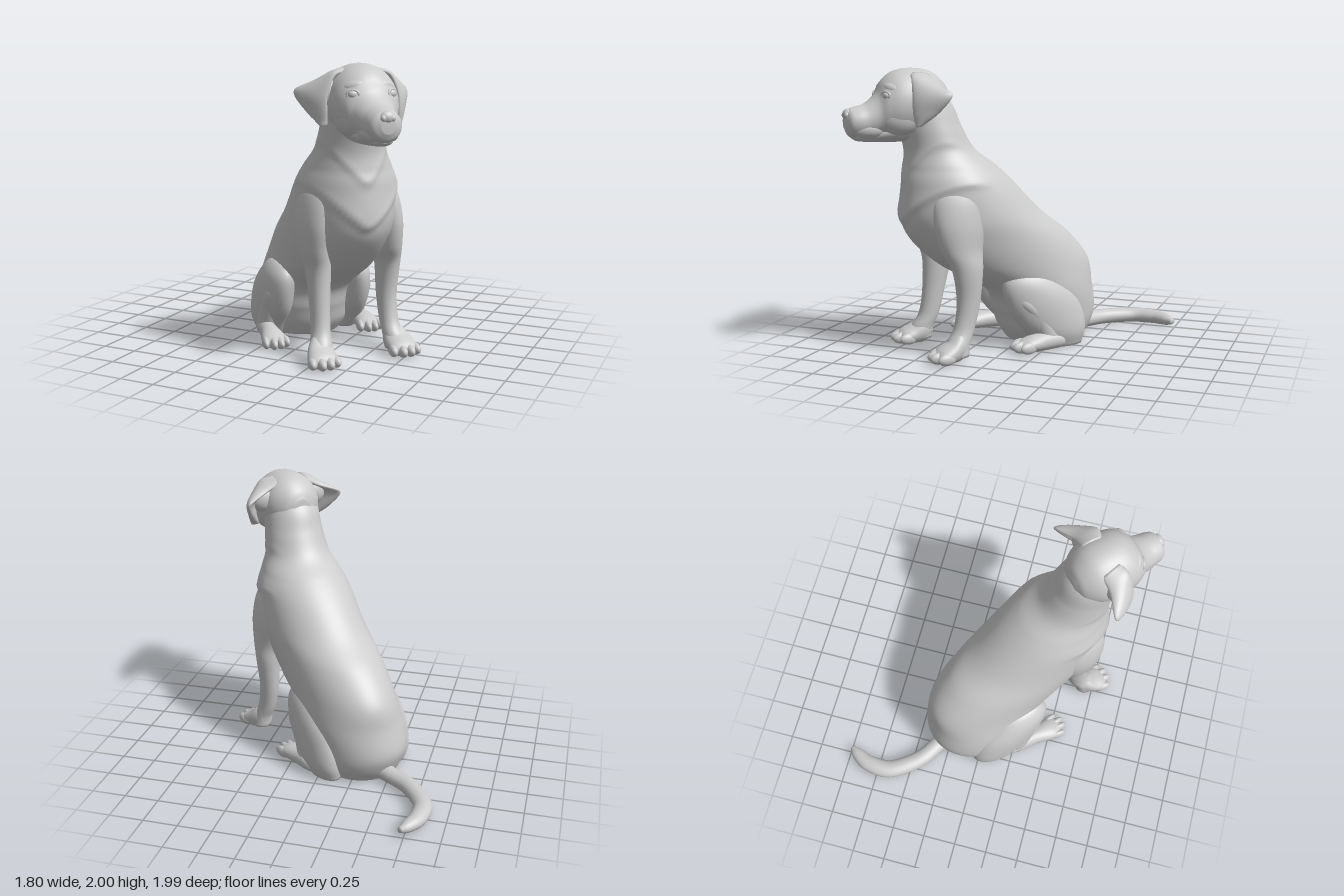
import * as THREE from 'three';

const V = (x, y, z) => new THREE.Vector3(x, y, z);
const UP = V(0, 1, 0);
const MID = -0.06; // sideways shift of head and hips
const mat = new THREE.MeshStandardMaterial({ color: 0xcccccc, roughness: 0.8 });

// Closed skin over rows of points; both ends are fanned to their centres.
function skin(rows) {
  const n = rows[0].length, pos = [], idx = [];
  const centre = (r) => r.reduce((s, p) => s.add(p), V(0, 0, 0)).divideScalar(n);
  for (const r of rows) for (const p of r) pos.push(p.x, Math.max(0, p.y), p.z);
  for (let i = 0; i < rows.length - 1; i++) {
    for (let j = 0; j < n; j++) {
      const a = i * n + j, b = i * n + (j + 1) % n;
      idx.push(a, b, b + n, a, b + n, a + n);
    }
  }
  const last = (rows.length - 1) * n, c0 = rows.length * n;
  for (const r of [rows[0], rows[rows.length - 1]]) pos.push(...centre(r).toArray());
  for (let j = 0; j < n; j++) {
    const k = (j + 1) % n;
    idx.push(c0, k, j, c0 + 1, last + j, last + k);
  }
  const g = new THREE.BufferGeometry();
  g.setAttribute('position', new THREE.Float32BufferAttribute(pos, 3));
  g.setIndex(idx);
  g.computeVertexNormals();
  return g;
}

// Smooth loft through elliptical stations [x, y, z, ru, rv].
// axis: fixed ring normal, or null to follow the path.
function loft(st, axis, steps = 32, segs = 32, bump = null) {
  const path = new THREE.CatmullRomCurve3(st.map((s) => V(s[0], s[1], s[2])), false, 'catmullrom');
  const radii = new THREE.CatmullRomCurve3(st.map((s) => V(s[3], s[4], 0)), false, 'catmullrom');
  const rows = [];
  for (let i = 0; i <= steps; i++) {
    const t = i / steps, c = path.getPoint(t), r = radii.getPoint(t);
    const n = axis || path.getTangent(t);
    const u = Math.abs(n.y) > 0.9 ? V(1, 0, 0) : UP.clone().cross(n).normalize();
    const v = n.clone().cross(u).normalize();
    const row = [];
    for (let j = 0; j < segs; j++) {
      const a = j / segs * Math.PI * 2;
      const off = u.clone().multiplyScalar(Math.cos(a) * r.x).addScaledVector(v, Math.sin(a) * r.y);
      if (bump) off.multiplyScalar(bump(off, c));
      row.push(c.clone().add(off));
    }
    rows.push(row);
  }
  return skin(rows);
}

function add(parent, name, geo) {
  const m = new THREE.Mesh(geo, mat);
  m.name = name;
  parent.add(m);
  return m;
}

function ball(parent, name, p, s, rot = [0, 0, 0]) {
  const m = add(parent, name, new THREE.SphereGeometry(1, 32, 20));
  m.position.set(...p);
  m.scale.set(...s);
  m.rotation.set(...rot);
}

// Four rounded toes across the front of a paw
function toes(parent, x, z, w) {
  for (let i = 0; i < 4; i++) {
    const k = i - 1.5, inner = Math.abs(k) < 1;
    ball(parent, 'toe', [x + k * w, 0.042, z + (inner ? 0.015 : -0.02)], [w * 0.62, 0.042, 0.07], [0, k * 0.12, 0]);
  }
}

// Loose skin folds: V-shaped ridges over the chest and around the neck
function folds(off, c) {
  if (off.z < -0.15) return 1;
  const fade = Math.min(1, (off.z + 0.15) / 0.15);
  const ridge = (base, slope, h) => {
    const d = c.y - base - slope * (Math.hypot(off.x, 0.03) - 0.03);
    return h * (d > 0 ? Math.exp(-d / 0.07) : Math.exp(-((d / 0.035) ** 2)));
  };
  return 1 + fade * (ridge(0.95, 0.9, 0.035) + ridge(1.24, 1.3, 0.03));
}

function ear(side) {
  const front = [[0.1, 1.955, 0.84], [0.19, 1.93, 0.86], [0.24, 1.8, 0.87], [0.245, 1.7, 0.87], [0.24, 1.61, 0.85]];
  const back = [[0.12, 1.93, 0.69], [0.23, 1.88, 0.69], [0.385, 1.825, 0.64], [0.34, 1.71, 0.71], [0.265, 1.615, 0.81]];
  const curve = (l) => new THREE.CatmullRomCurve3(l.map((p) => V(MID + side * p[0], p[1], p[2])), false, 'catmullrom');
  const f = curve(front), b = curve(back), rows = [];
  for (let i = 0; i <= 24; i++) {
    const t = i / 24, F = f.getPoint(t), B = b.getPoint(t);
    const c = F.clone().add(B).multiplyScalar(0.5), e = F.clone().sub(B).multiplyScalar(0.5);
    const d = f.getTangent(t).add(b.getTangent(t));
    const n = d.cross(e).normalize().multiplyScalar(0.03);
    rows.push(Array.from({ length: 24 }, (_, j) => {
      const a = j / 24 * Math.PI * 2;
      return c.clone().addScaledVector(e, Math.cos(a)).addScaledVector(n, Math.sin(a));
    }));
  }
  return skin(rows);
}

function buildHead(dog) {
  const head = new THREE.Group();
  head.name = 'head';
  dog.add(head);
  const Z = V(0, 0, 1);
  // Skull and muzzle flow together through the stop
  add(head, 'skull', loft([
    [MID, 1.76, 0.54, 0.06, 0.07], [MID, 1.76, 0.58, 0.14, 0.15], [MID, 1.765, 0.68, 0.21, 0.218],
    [MID, 1.76, 0.82, 0.225, 0.24], [MID, 1.745, 0.93, 0.215, 0.234], [MID, 1.72, 1.01, 0.18, 0.195],
    [MID, 1.675, 1.06, 0.145, 0.15], [MID, 1.645, 1.13, 0.125, 0.12], [MID, 1.635, 1.2, 0.115, 0.108],
    [MID, 1.635, 1.245, 0.095, 0.093], [MID, 1.64, 1.272, 0.045, 0.05]], Z, 64));
  add(head, 'lowerJaw', loft([
    [MID, 1.6, 0.8, 0.14, 0.1], [MID, 1.575, 0.95, 0.135, 0.08], [MID, 1.55, 1.1, 0.09, 0.05],
    [MID, 1.545, 1.19, 0.07, 0.037], [MID, 1.55, 1.23, 0.025, 0.02]], Z));
  ball(head, 'nose', [MID, 1.69, 1.247], [0.05, 0.04, 0.037]);
  for (const s of [-1, 1]) {
    add(head, 'ear', ear(s));
    ball(head, 'earRoot', [MID + s * 0.2, 1.82, 0.77], [0.11, 0.1, 0.08], [0, 0, s * -0.4]);
    ball(head, 'cheek', [MID + s * 0.1, 1.67, 0.92], [0.1, 0.13, 0.16], [0, s * -0.2, 0]);
    ball(head, 'lip', [MID + s * 0.06, 1.59, 1.12], [0.06, 0.065, 0.13], [0, s * -0.1, 0]);
    ball(head, 'nostril', [MID + s * 0.03, 1.685, 1.262], [0.02, 0.023, 0.02]);
    ball(head, 'eye', [MID + s * 0.125, 1.815, 1.01], [0.036, 0.03, 0.03]);
    ball(head, 'brow', [MID + s * 0.1, 1.86, 0.96], [0.085, 0.045, 0.055], [0, s * 0.5, s * -0.25]);
    const lid = add(head, 'eyelid', new THREE.TorusGeometry(0.036, 0.01, 8, 24));
    lid.position.set(MID + s * 0.13, 1.815, 1.02);
    lid.scale.y = 0.75;
    lid.rotation.y = s * 0.5;
  }
}

function buildForeleg(dog, s) {
  const leg = new THREE.Group();
  leg.name = s > 0 ? 'leftForeleg' : 'rightForeleg';
  dog.add(leg);
  const c = 0.005, dz = s > 0 ? -0.07 : 0; // left leg stands slightly further back
  add(leg, 'limb', loft([
    [-0.03 + s * 0.16, 1.29, 0.5, 0.05, 0.1], [-0.03 + s * 0.21, 1.15, 0.52, 0.115, 0.21],
    [-0.03 + s * 0.255, 0.95, 0.545, 0.115, 0.2], [-0.02 + s * 0.262, 0.76, 0.55, 0.105, 0.15],
    [c + s * 0.262, 0.62, 0.555 + dz / 2, 0.087, 0.11], [c + s * 0.26, 0.4, 0.585 + dz, 0.071, 0.084],
    [c + s * 0.265, 0.22, 0.62 + dz, 0.066, 0.076], [c + s * 0.28, 0.12, 0.67 + dz, 0.075, 0.085],
    [c + s * 0.29, 0.03, 0.69 + dz, 0.075, 0.09]], V(0, -1, 0), 40));
  add(leg, 'paw', loft([
    [c + s * 0.28, 0.1, 0.6 + dz, 0.04, 0.05], [c + s * 0.285, 0.1, 0.66 + dz, 0.08, 0.1],
    [c + s * 0.3, 0.065, 0.74 + dz, 0.1, 0.075], [c + s * 0.305, 0.05, 0.81 + dz, 0.098, 0.052],
    [c + s * 0.305, 0.04, 0.85 + dz, 0.05, 0.03]], V(0, 0, 1)));
  toes(leg, c + s * 0.305, 0.81 + dz, 0.052);
}

function buildHindLeg(dog, s) {
  const leg = new THREE.Group();
  leg.name = s > 0 ? 'leftHindLeg' : 'rightHindLeg';
  dog.add(leg);
  const left = s > 0, fz = left ? -0.16 : 0; // left foot is tucked further back
  const x = (o) => (left ? -0.105 : MID) + s * o; // hips sit towards the right
  add(leg, 'thigh', loft([
    [x(0.3), 0, -0.22, 0.1, 0.18], [x(0.315), 0.1, -0.19, 0.125, 0.23],
    [x(0.315), 0.22, -0.13, 0.135, 0.275], [x(0.315), 0.36, -0.065, 0.13, 0.275],
    [x(0.305), 0.48, 0, 0.115, 0.225], [x(0.29), 0.56, 0.02, 0.08, 0.15],
    [x(0.28), 0.595, 0.02, 0.025, 0.05]], UP));
  add(leg, 'shin', loft([
    [x(0.32), 0.5, 0.08, 0.02, 0.03], [x(0.345), 0.36, 0.07, 0.08, 0.09],
    [x(0.365), 0.22, 0 + fz / 4, 0.075, 0.09], [x(0.375), 0.12, -0.04 + fz / 3, 0.07, 0.09],
    [x(0.385), 0.03, -0.06 + fz / 3, 0.06, 0.08]], V(0, -1, 0)));
  add(leg, 'foot', loft([
    [x(0.36), 0.05, -0.2 + fz / 4, 0.03, 0.04], [x(0.38), 0.055, -0.11 + fz / 2, 0.06, 0.058],
    [x(0.4), 0.06, 0.08 + fz, 0.065, 0.065], [x(0.41), 0.055, 0.21 + fz, 0.085, 0.058],
    [x(0.41), 0.045, 0.28 + fz, 0.08, 0.045], [x(0.41), 0.04, 0.32 + fz, 0.04, 0.03]], V(0, 0, 1)));
  toes(leg, x(0.41), 0.28 + fz, 0.045);
}

export function createModel() {
  const model = new THREE.Group();
  model.name = 'sittingDog';
  const dog = new THREE.Group(); // built facing +z, then turned to the diagonal
  dog.name = 'dog';
  dog.rotation.y = Math.PI / 4;
  model.add(dog);

  // Torso and neck in level cross-sections from the floor up
  add(dog, 'body', loft([
    [-0.1, 0, -0.24, 0.28, 0.29], [-0.09, 0.1, -0.235, 0.33, 0.355], [-0.09, 0.22, -0.23, 0.35, 0.395],
    [-0.07, 0.4, -0.175, 0.355, 0.42], [-0.05, 0.6, 0.02, 0.35, 0.575], [-0.04, 0.8, 0.215, 0.355, 0.6],
    [-0.03, 0.97, 0.365, 0.355, 0.525], [-0.03, 1.2, 0.475, 0.33, 0.405], [-0.035, 1.32, 0.53, 0.287, 0.33],
    [-0.045, 1.44, 0.605, 0.235, 0.25], [-0.05, 1.6, 0.67, 0.215, 0.222],
    [MID, 1.76, 0.73, 0.195, 0.212], [MID, 1.9, 0.79, 0.13, 0.14]], UP, 130, 72, folds));

  // Tail curling along the floor
  add(dog, 'tail', loft([
    [-0.11, 0.07, -0.45, 0.085, 0.08], [-0.13, 0.06, -0.6, 0.065, 0.06], [-0.163, 0.057, -0.8, 0.065, 0.057],
    [-0.12, 0.055, -1.03, 0.068, 0.055], [0, 0.055, -1.155, 0.064, 0.052],
    [0.12, 0.052, -1.2, 0.047, 0.042], [0.19, 0.05, -1.21, 0.02, 0.02]], null, 48, 20));

  buildHead(dog);
  for (const s of [-1, 1]) {
    buildForeleg(dog, s);
    buildHindLeg(dog, s);
  }
  return model;
}
